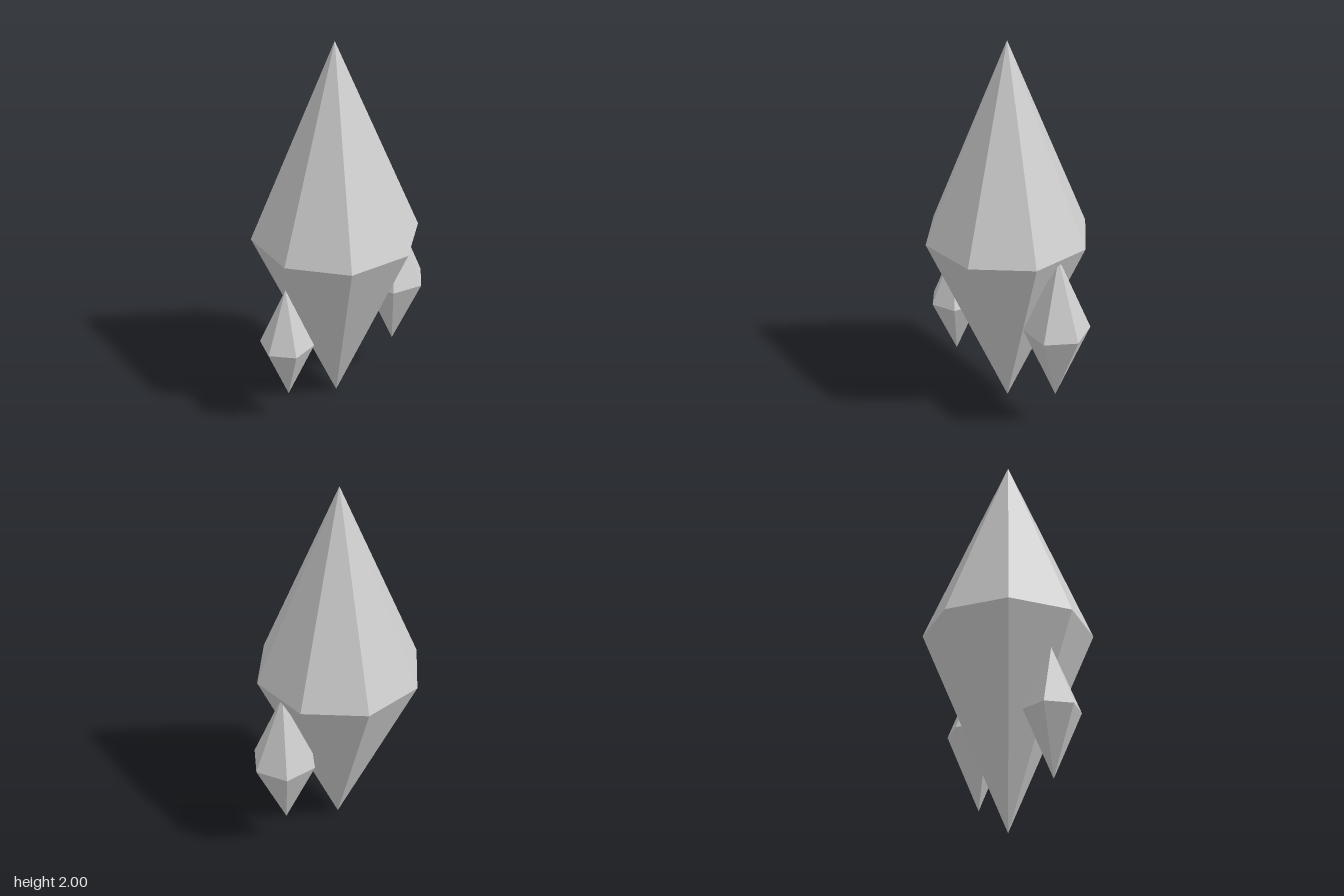
import * as THREE from 'three';
import { mergeGeometries } from 'three/addons/utils/BufferGeometryUtils.js';

const stone = new THREE.MeshStandardMaterial({ color: 0xcccccc });
stone.name = 'pale grey crystal';
stone.flatShading = true;

// Double-pointed crystal: two open cones meeting at the girdle
function crystal(name, sides, radius, half, turn, x, y, z) {
  const start = THREE.MathUtils.degToRad(turn);
  const upper = new THREE.CylinderGeometry(0, radius, half, sides, 1, true, start);
  const lower = new THREE.CylinderGeometry(radius, 0, half, sides, 1, true, start);
  upper.translate(0, half / 2, 0);
  lower.translate(0, -half / 2, 0);
  const mesh = new THREE.Mesh(mergeGeometries([upper, lower]), stone);
  mesh.name = name;
  mesh.position.set(x, y, z);
  return mesh;
}

export function createModel() {
  const group = new THREE.Group();
  group.name = 'crystalCluster';
  group.add(
    crystal('mainCrystal', 8, 0.427, 1, 0, -0.04, 1, 0),
    crystal('leftCrystal', 6, 0.17, 0.4, 46.7, 0.302, 0.6, -0.144),
    crystal('rightCrystal', 6, 0.139, 0.32, 11.3, -0.328, 0.49, 0.2)
  );
  return group;
}
